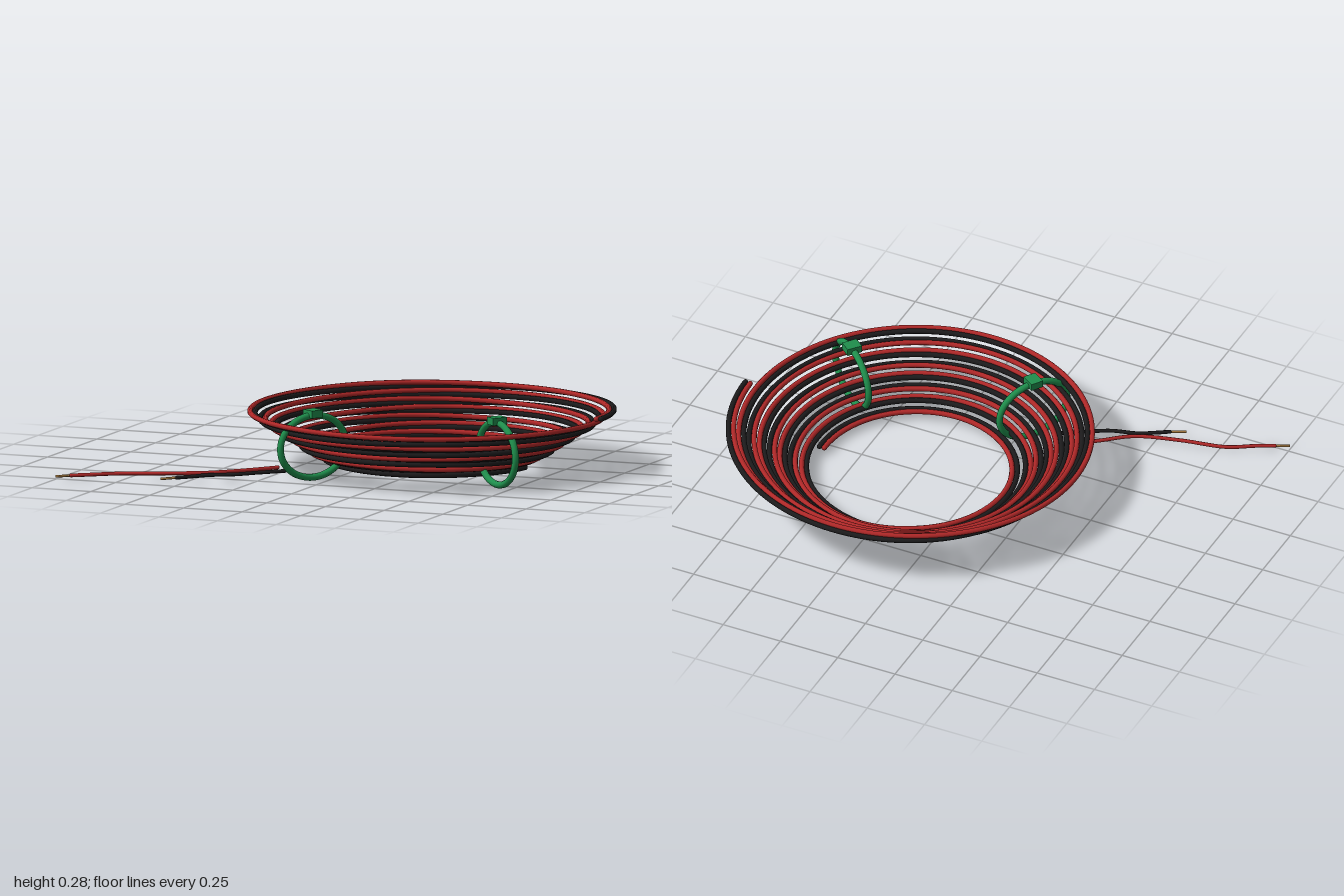
import * as THREE from 'three';

const mat = (name, color) => {
  const m = new THREE.MeshStandardMaterial({ color });
  m.name = name;
  return m;
};

// Conical spiral followed by one wire of the flat pair
class CoilCurve extends THREE.Curve {
  constructor(sign, turns) {
    super();
    this.sign = sign;
    this.turns = turns;
    this.arcLengthDivisions = 3000;
  }
  getPoint(t, target = new THREE.Vector3()) {
    const u = t * this.turns;
    const a = u * Math.PI * 2;
    // each turn is nearly a circle and steps outward around +x; the first is a little tighter
    const step = u + 0.9 * Math.sin(a) / (Math.PI * 2);
    const tighten = 0.018 * Math.exp(-(((u - 0.6) / 0.28) ** 2));
    // the pair flips over once per turn, so equal colours meet in neighbouring turns
    const flip = Math.tanh(3 * Math.sin(Math.PI * (u - 0.67)));
    const roll = 1.75 - 1.4 * flip + 0.15 * Math.sin(a * 3.3);
    const off = 0.0104 * this.sign;
    const r = 0.395 + 0.0404 * step - tighten + off * Math.cos(roll);
    const y = 0.03 + 0.0263 * step + off * 0.85 * Math.sin(roll);
    return target.set(Math.cos(a) * r, y, Math.sin(a) * r);
  }
}

// Upright oval loop of a cable tie, in the local xy plane
class OvalCurve extends THREE.Curve {
  getPoint(t, target = new THREE.Vector3()) {
    const a = t * Math.PI * 2;
    return target.set(Math.cos(a) * 0.154, 0.137 + Math.sin(a) * 0.123, 0);
  }
}

export function createModel() {
  const red = mat('red insulation', 0xb02828);
  const black = mat('black insulation', 0x1c1b1c);
  const green = mat('green plastic', 0x1f8f4d);
  const copper = mat('bare copper', 0xa5793f);

  const root = new THREE.Group();
  root.name = 'wireCoil';
  const add = (parent, name, geo, material) => {
    const m = new THREE.Mesh(geo, material);
    m.name = name;
    parent.add(m);
    return m;
  };

  // Coiled pair
  const coil = new THREE.Group();
  coil.name = 'coil';
  coil.position.set(0.25, 0, -0.06);
  root.add(coil);
  for (const [name, sign, material] of [['red', 1, red], ['black', -1, black]]) {
    const curve = new CoilCurve(sign, 8);
    add(coil, name + 'CoilWire', new THREE.TubeGeometry(curve, 800, 0.0106, 8), material);
    for (const t of [0, 1]) {
      add(coil, name + 'WireEnd', new THREE.SphereGeometry(0.0106, 10, 6), material)
        .position.copy(curve.getPoint(t));
    }
  }

  // Loose leads with stripped tips
  const addLead = (name, material, points, tipEnd) => {
    const path = points.map((p) => new THREE.Vector3(...p));
    const curve = new THREE.CatmullRomCurve3(path);
    const end = path[path.length - 1];
    add(root, name + 'Lead', new THREE.TubeGeometry(curve, 50, 0.0075, 8), material);
    for (const p of [path[0], end]) {
      add(root, name + 'LeadEnd', new THREE.SphereGeometry(0.0075, 10, 6), material).position.copy(p);
    }
    const tip = new THREE.LineCurve3(end, new THREE.Vector3(...tipEnd));
    add(root, name + 'LeadTip', new THREE.TubeGeometry(tip, 1, 0.005, 6), copper);
  };
  addLead('red', red, [
    [-0.22, 0.038, 0.365], [-0.32, 0.033, 0.45], [-0.43, 0.03, 0.54], [-0.6, 0.025, 0.6],
    [-0.78, 0.02, 0.645], [-0.88, 0.018, 0.705], [-0.945, 0.016, 0.74],
  ], [-0.998, 0.013, 0.769]);
  addLead('black', black, [
    [-0.165, 0.036, 0.425], [-0.26, 0.032, 0.49], [-0.33, 0.028, 0.535],
    [-0.43, 0.024, 0.57], [-0.49, 0.02, 0.61], [-0.535, 0.018, 0.642],
  ], [-0.59, 0.014, 0.675]);

  // Cable ties, each turned so its loop lies along the coil's radius
  for (const [name, x, z] of [['rightCableTie', -0.055, 0.4], ['leftCableTie', 0.685, 0.295]]) {
    const tie = new THREE.Group();
    tie.name = name;
    tie.position.set(x, 0, z);
    tie.rotation.y = -Math.atan2(z + 0.06, x - 0.25);
    root.add(tie);
    add(tie, 'tieLoop', new THREE.TubeGeometry(new OvalCurve(), 56, 0.0138, 10, true), green);
    add(tie, 'tieHead', new THREE.BoxGeometry(0.052, 0.03, 0.062), green).position.y = 0.268;
  }
  return root;
}
